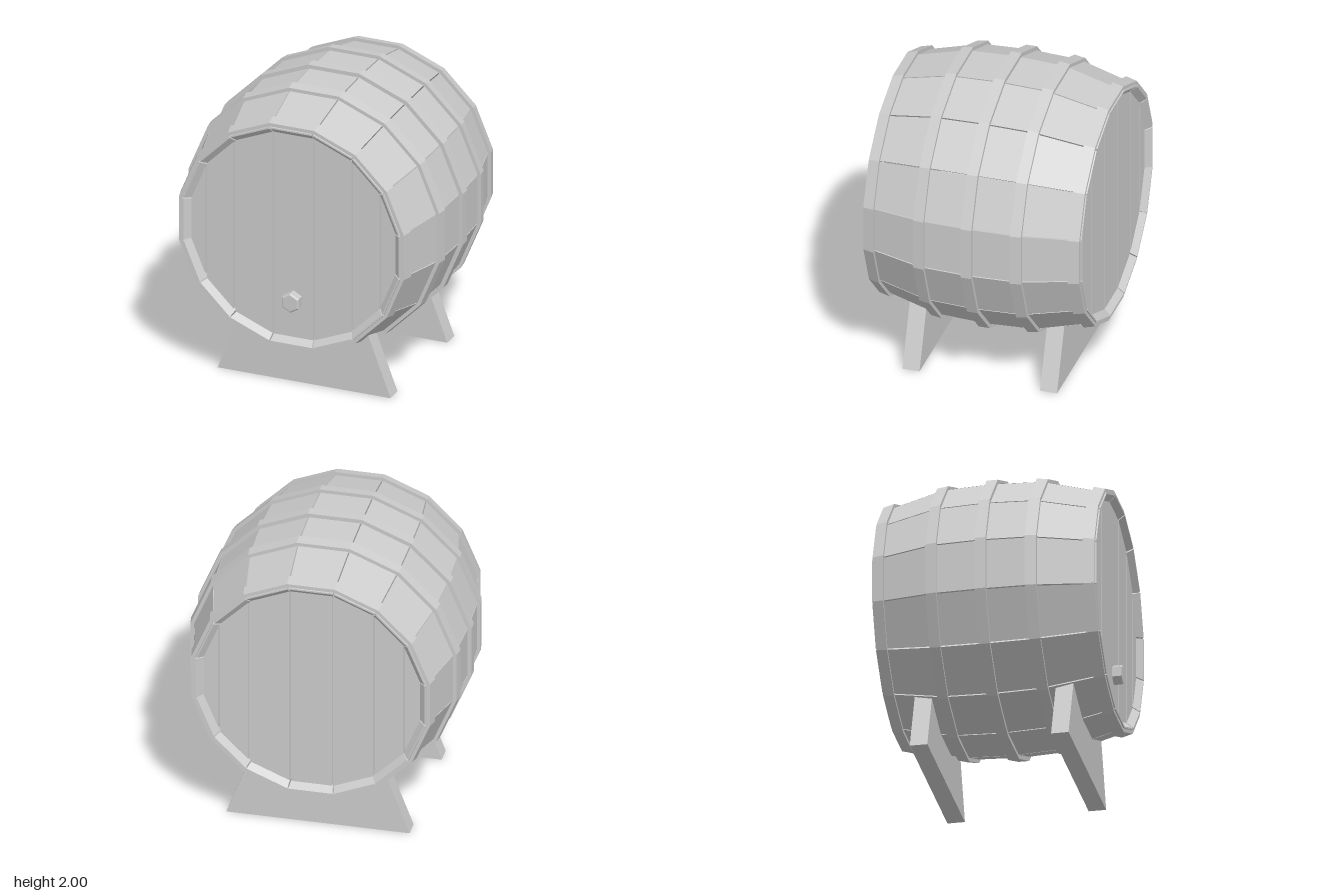
import * as THREE from 'three';

const SIDES = 16, STEP = (2 * Math.PI) / SIDES;
const AXIS_Y = 1.105, MID_Z = -0.01;      // barrel axis height and centre
const HEAD_Z = 0.69, HEAD_R = 0.71;       // recessed end planks
const material = new THREE.MeshStandardMaterial({ color: 0xcccccc, flatShading: true });

function addMesh(parent, geometry, name) {
  const mesh = new THREE.Mesh(geometry, material);
  mesh.name = name;
  parent.add(mesh);
  return mesh;
}

// Distance from the axis to the flat outside of the staves at a given z
const BULGE = [[0, 0.87], [0.325, 0.857], [0.73, 0.755]];
function staveRadius(z) {
  const a = Math.abs(z), i = a < BULGE[1][0] ? 0 : 1;
  const [z0, r0] = BULGE[i], [z1, r1] = BULGE[i + 1];
  return r0 + ((r1 - r0) * (a - z0)) / (z1 - z0);
}

// One stave: four-cornered sections lofted along z, chamfered inside at both ends
function staveGeometry() {
  const half = Math.tan(STEP / 2), gap = 0.004;
  const rings = [-0.73, -0.685, -0.325, 0, 0.325, 0.685, 0.73].map((z) => {
    const outer = staveRadius(z);
    const inner = outer - (Math.abs(z) > 0.7 ? 0.01 : 0.062);
    const wo = outer * half - gap, wi = inner * half - gap;
    return [[-wo, outer, z], [wo, outer, z], [wi, inner, z], [-wi, inner, z]];
  });
  const pos = [];
  const quad = (a, b, c, d) => pos.push(...a, ...b, ...c, ...a, ...c, ...d);
  for (let i = 0; i < rings.length - 1; i++) {
    for (let j = 0; j < 4; j++) {
      const k = (j + 1) % 4;
      quad(rings[i][j], rings[i + 1][j], rings[i + 1][k], rings[i][k]);
    }
  }
  const first = rings[0], last = rings[rings.length - 1];
  quad(first[0], first[1], first[2], first[3]);
  quad(last[3], last[2], last[1], last[0]);
  const geometry = new THREE.BufferGeometry();
  geometry.setAttribute('position', new THREE.Float32BufferAttribute(pos, 3));
  geometry.computeVertexNormals();
  return geometry;
}

// Sixteen-sided band that follows the slope of the staves
function hoopGeometry(z, thickness) {
  const z0 = z - 0.036, z1 = z + 0.036, c = Math.cos(STEP / 2);
  const p = (zz, t) => new THREE.Vector2((staveRadius(zz) + t) / c, zz);
  const points = [p(z0, -0.004), p(z0, thickness), p(z1, thickness), p(z1, -0.004), p(z0, -0.004)];
  return new THREE.LatheGeometry(points, SIDES, STEP / 2).rotateX(Math.PI / 2);
}

// Half height of the sixteen-sided head at x
function headHeight(x) {
  let h = Infinity;
  for (let k = 1; k <= 7; k++) h = Math.min(h, (HEAD_R - x * Math.cos(k * STEP)) / Math.sin(k * STEP));
  return h;
}

function plankGeometry(x0, x1) {
  const xs = [x0];
  for (let k = 7; k >= 0; k--) {
    const x = (HEAD_R / Math.cos(STEP / 2)) * Math.cos((k + 0.5) * STEP);
    if (x > x0 + 0.001 && x < x1 - 0.001) xs.push(x);
  }
  xs.push(x1);
  const top = xs.map((x) => new THREE.Vector2(x, headHeight(x)));
  const bottom = xs.map((x) => new THREE.Vector2(x, -headHeight(x)));
  const shape = new THREE.Shape([...bottom, ...top.reverse()]);
  return new THREE.ExtrudeGeometry(shape, { depth: 0.03, bevelEnabled: false });
}

// Planked head facing +z, with a backing board behind the gaps
function createHead(name) {
  const head = new THREE.Group();
  head.name = name;
  const edges = [-0.71, -0.605, -0.41, -0.14, 0.14, 0.41, 0.605, 0.71];
  for (let i = 0; i < edges.length - 1; i++) {
    const x0 = edges[i] + (i > 0 ? 0.006 : 0);
    const x1 = edges[i + 1] - (i < edges.length - 2 ? 0.006 : 0);
    addMesh(head, plankGeometry(x0, x1), 'headPlank').position.z = HEAD_Z - 0.03;
  }
  const backing = new THREE.CylinderGeometry(HEAD_R, HEAD_R, 0.02, SIDES, 1, false, STEP / 2);
  addMesh(head, backing.rotateX(Math.PI / 2), 'headBacking').position.z = HEAD_Z - 0.035;
  return head;
}

// Trapezoid support with a cradle cut for the barrel
function supportGeometry() {
  const outline = [[-0.6, 0], [0.6, 0], [0.442, 0.42], [0.16, 0.303], [-0.16, 0.303], [-0.442, 0.42]];
  const shape = new THREE.Shape(outline.map(([x, y]) => new THREE.Vector2(x, y)));
  return new THREE.ExtrudeGeometry(shape, { depth: 0.114, bevelEnabled: false }).translate(0, 0, -0.057);
}

export function createModel() {
  const model = new THREE.Group();
  model.name = 'barrelOnStand';

  const barrel = new THREE.Group();
  barrel.name = 'barrel';
  barrel.position.set(0, AXIS_Y, MID_Z);
  model.add(barrel);

  // Staves
  const stave = staveGeometry();
  for (let i = 0; i < SIDES; i++) addMesh(barrel, stave, 'stave').rotation.z = i * STEP;

  // Hoops
  for (const z of [-0.686, -0.325, 0, 0.325, 0.686]) {
    addMesh(barrel, hoopGeometry(z, z === 0 ? 0.0264 : 0.023), 'hoop');
  }

  // Heads
  barrel.add(createHead('frontHead'));
  const backHead = createHead('backHead');
  backHead.rotation.y = Math.PI;
  barrel.add(backHead);

  // Six-sided plug low on the front head
  const plugProfile = [[0.068, -0.01], [0.068, 0.052], [0.058, 0.06], [0, 0.06]];
  const plug = new THREE.LatheGeometry(plugProfile.map(([r, y]) => new THREE.Vector2(r, y)), 6);
  addMesh(barrel, plug.rotateX(Math.PI / 2), 'plug').position.set(0, 0.656 - AXIS_Y, HEAD_Z);

  // Supports
  for (const side of [1, -1]) {
    const name = side > 0 ? 'frontSupport' : 'backSupport';
    addMesh(model, supportGeometry(), name).position.z = MID_Z + side * 0.46;
  }
  return model;
}
